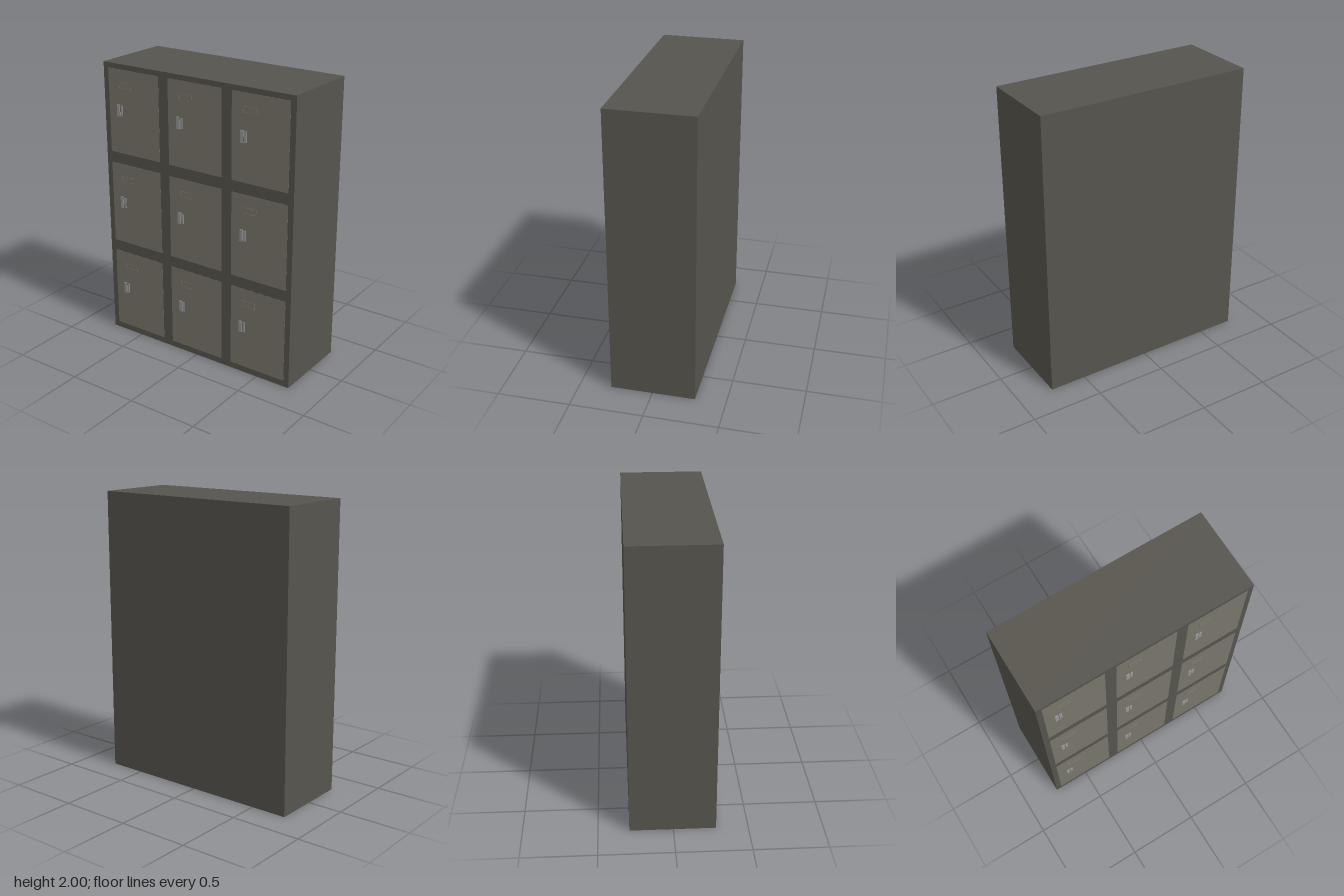
import * as THREE from 'three';

const FRONT = 0.285, BACK = -0.292;

function material(color) {
  return new THREE.MeshStandardMaterial({ color });
}

function box(name, mat, x0, x1, y0, y1, z0, z1) {
  const mesh = new THREE.Mesh(new THREE.BoxGeometry(x1 - x0, y1 - y0, z1 - z0), mat);
  mesh.position.set((x0 + x1) / 2, (y0 + y1) / 2, (z0 + z1) / 2);
  mesh.name = name;
  return mesh;
}

// Thin rectangular rim that holds a name card
function cardFrame(mat, w, h, rim, depth) {
  const rect = (T, a, b) => new T([[-a, -b], [a, -b], [a, b], [-a, b]].map(([x, y]) => new THREE.Vector2(x, y)));
  const shape = rect(THREE.Shape, w / 2, h / 2);
  shape.holes.push(rect(THREE.Path, w / 2 - rim, h / 2 - rim));
  const mesh = new THREE.Mesh(new THREE.ExtrudeGeometry(shape, { depth, bevelEnabled: false }), mat);
  mesh.name = 'cardFrame';
  return mesh;
}

export function createModel() {
  const model = new THREE.Group();
  model.name = 'lockerCabinet';
  const bodyMat = material(0x56544d);
  const doorMat = material(0x79766b);
  const handleMat = material(0x98989a);

  model.add(box('cabinetBody', bodyMat, -0.755, 0.755, 0, 2, BACK, FRONT));

  // Three by three lockers, each placed from its lower outer corner
  const doorW = 0.425, doorH = 0.588;
  for (const y of [0.043, 0.709, 1.376]) {
    for (const x of [-0.715, -0.2125, 0.29]) {
      const locker = new THREE.Group();
      locker.name = 'locker';
      locker.position.set(x, y, FRONT);
      locker.add(box('door', doorMat, 0, doorW, 0, doorH, -0.005, 0.001));

      // Latch: wide grip beside a lower narrow plate
      locker.add(box('handleGrip', handleMat, 0.068, 0.092, 0.262, 0.345, 0, 0.007));
      locker.add(box('handlePlate', handleMat, 0.097, 0.116, 0.267, 0.34, 0, 0.005));
      locker.add(box('handleBase', bodyMat, 0.092, 0.097, 0.267, 0.34, 0, 0.002));

      const frame = cardFrame(doorMat, 0.106, 0.044, 0.005, 0.003);
      frame.position.set(0.139, 0.479, 0.0005);
      locker.add(frame);
      model.add(locker);
    }
  }
  return model;
}
